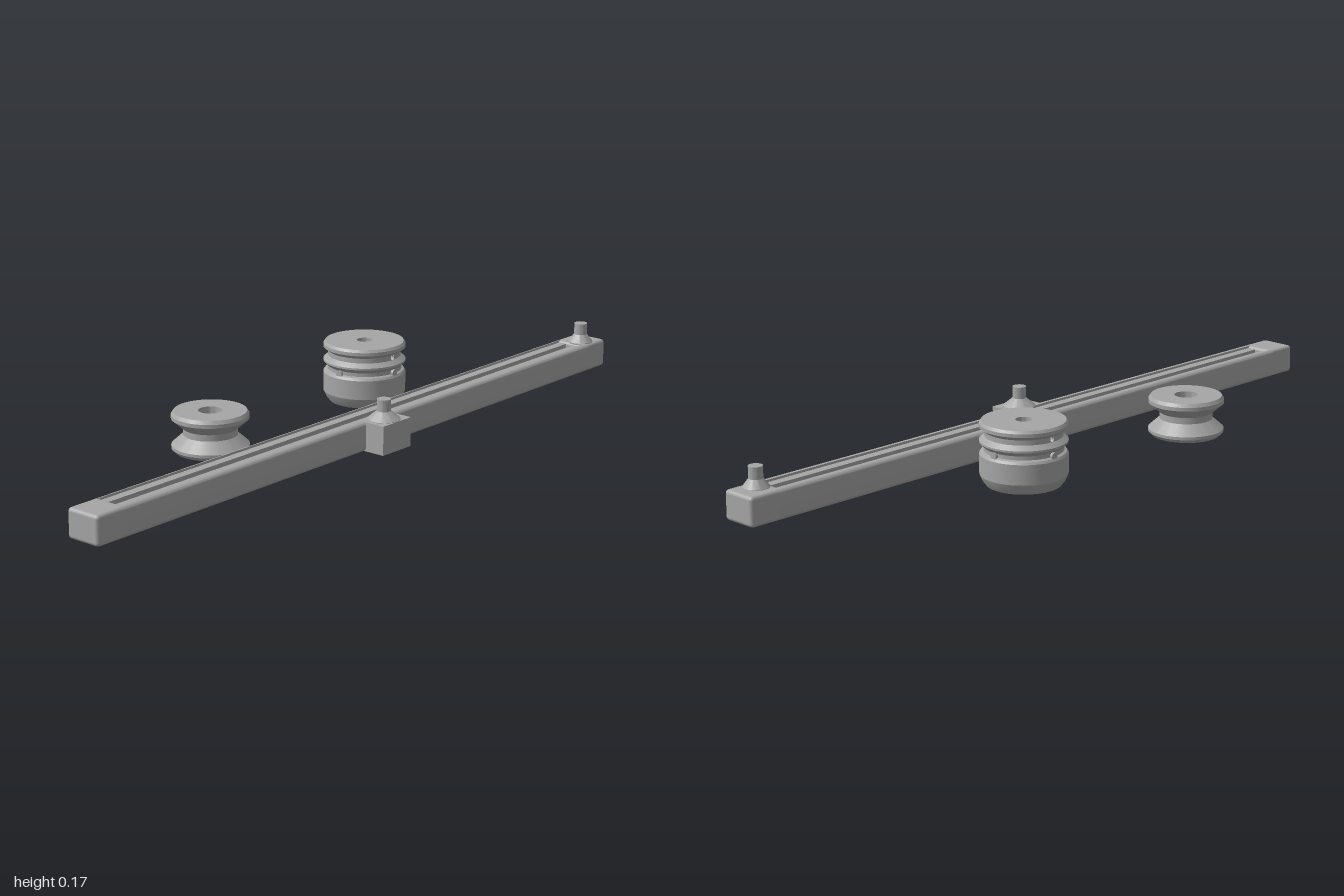
import * as THREE from 'three';
import { toCreasedNormals } from 'three/addons/utils/BufferGeometryUtils.js';
import { RoundedBoxGeometry } from 'three/addons/geometries/RoundedBoxGeometry.js';

export function createModel() {
  const model = new THREE.Group();
  const grey = new THREE.MeshStandardMaterial({ color: 0xa6a6a6, side: THREE.DoubleSide });
  grey.name = 'grey plastic';

  const add = (name, geometry, x = 0, y = 0, z = 0, parent = model) => {
    const mesh = new THREE.Mesh(geometry, grey);
    mesh.name = name;
    mesh.position.set(x, y, z);
    parent.add(mesh);
    return mesh;
  };
  const lathe = (profile, start = 0, length = Math.PI * 2, segments = 64) =>
    toCreasedNormals(new THREE.LatheGeometry(
      profile.map(([r, y]) => new THREE.Vector2(r, y)), segments, start, length), 0.35);

  // Long bar: slotted middle section, swept along x
  const z0 = 0.08, z1 = 0.18, top = 0.077, round = 0.01;
  const section = new THREE.Shape();
  section.moveTo(z0 + round, 0);
  section.lineTo(z1 - round, 0);
  section.absarc(z1 - round, round, round, -Math.PI / 2, 0);
  section.absarc(z1 - round, top - round, round, 0, Math.PI / 2);
  const slot = [[0.163, top], [0.163, 0.071], [0.138, 0.071], [0.138, 0.045],
    [0.115, 0.045], [0.115, 0.071], [0.091, 0.071], [0.091, top]];
  slot.forEach(([z, y]) => section.lineTo(z, y));
  section.absarc(z0 + round, top - round, round, Math.PI / 2, Math.PI);
  section.absarc(z0 + round, round, round, Math.PI, Math.PI * 1.5);
  const rail = new THREE.ExtrudeGeometry(section, { depth: 1.84, bevelEnabled: false, curveSegments: 4 });
  rail.rotateY(-Math.PI / 2); // sweep runs to -x, section z becomes mirrored x
  rail.scale(-1, 1, 1);
  // Restore the winding after mirroring
  const p = rail.attributes.position;
  for (let i = 0; i < p.count; i += 3) {
    const a = new THREE.Vector3().fromBufferAttribute(p, i + 1);
    const b = new THREE.Vector3().fromBufferAttribute(p, i + 2);
    p.setXYZ(i + 1, b.x, b.y, b.z);
    p.setXYZ(i + 2, a.x, a.y, a.z);
  }
  rail.translate(-0.92, 0, 0);
  add('slottedBar', toCreasedNormals(rail, 0.5));

  // Solid ends of the bar, closing the slot
  for (const [name, a, b] of [['rightBarEnd', -1, -0.905], ['leftBarEnd', 0.9, 1]]) {
    add(name, new RoundedBoxGeometry(b - a, top, z1 - z0, 3, round), (a + b) / 2, top / 2, (z0 + z1) / 2);
  }

  // Upright pegs with flared feet
  const peg = (name, x, z, foot) => add(name, lathe([
    [foot, top - 0.003], [foot, top + 0.001], [0.018, 0.099], [0.018, 0.13], [0, 0.13],
  ], 0, Math.PI * 2, 32), x, 0, z);
  peg('endPeg', 0.935, 0.14, 0.034);
  add('sideBlock', new THREE.BoxGeometry(0.11, top, 0.075), 0, top / 2, 0.1995);
  peg('sidePeg', 0, 0.193, 0.043);

  // Spool with a groove and a through bore
  add('spool', lathe([
    [0.031, 0], [0.09, 0], [0.1, 0.01], [0.1, 0.018], [0.07, 0.045], [0.07, 0.062],
    [0.1, 0.088], [0.1, 0.098], [0.094, 0.107], [0.031, 0.107], [0.031, 0],
  ]), -0.305, 0, -0.125);

  // Hollow knob with two grooves
  const knob = new THREE.Group();
  knob.name = 'knob';
  knob.position.set(0.302, 0, -0.125);
  model.add(knob);
  add('knobBody', lathe([
    [0, 0.075], [0.08, 0.075], [0.08, 0], [0.095, 0], [0.104, 0.012], [0.111, 0.028],
    [0.111, 0.08], [0.107, 0.086], [0.1, 0.089], [0.1, 0.099],
    [0.111, 0.11], [0.111, 0.115], [0.098, 0.126],
  ]), 0, 0, 0, knob);
  add('knobTop', lathe([
    [0.098, 0.139], [0.111, 0.149], [0.111, 0.158], [0.106, 0.165],
    [0.021, 0.165], [0.021, 0.148], [0, 0.148],
  ]), 0, 0, 0, knob);

  // Upper groove wall, open at front and back for the cross hole
  const gap = 0.0066 / 0.098;
  for (const start of [0, Math.PI]) {
    add('grooveWall', lathe([[0.098, 0.126], [0.098, 0.139]], start + gap, Math.PI - 2 * gap, 32), 0, 0, 0, knob);
  }
  const hole = new THREE.CylinderGeometry(0.0066, 0.0066, 0.196, 16, 1, true).rotateX(Math.PI / 2);
  add('crossHole', hole, 0, 0.1325, 0, knob);

  // Small pins in the lower groove
  for (let i = 0; i < 4; i++) {
    const a = i * Math.PI / 2;
    const pin = add('groovePin', new THREE.CylinderGeometry(0.0095, 0.0095, 0.02, 20),
      Math.sin(a) * 0.097, 0.092, Math.cos(a) * 0.097, knob);
    pin.rotation.set(Math.PI / 2, 0, -a);
  }
  return model;
}
